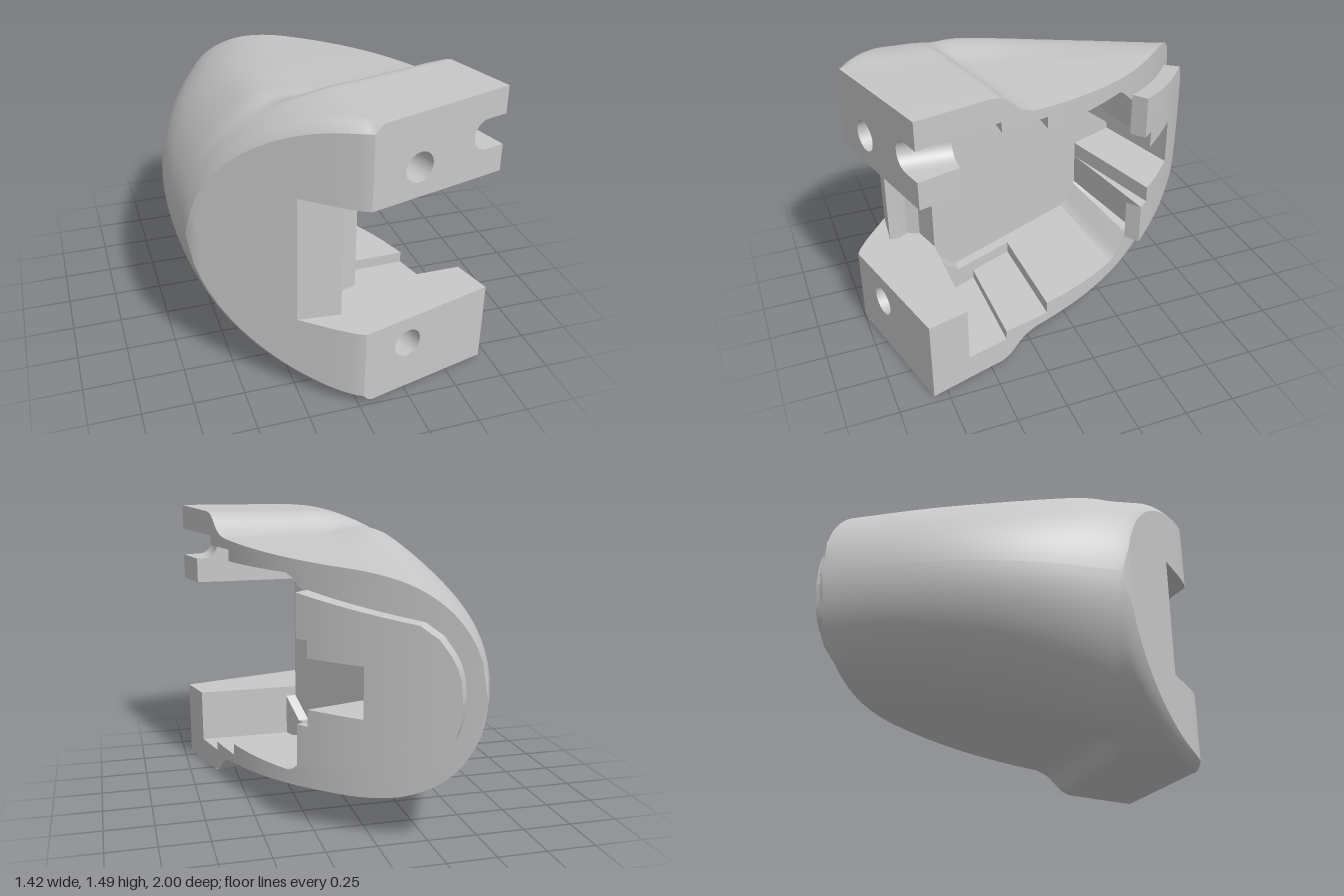
import * as THREE from 'three';
import { toCreasedNormals } from 'three/addons/utils/BufferGeometryUtils.js';

const MID = 0.75;                       // height of the mirror plane
const JAW = 0.325;                      // half height of the front slot
const BACK = 0.62;                      // z of the rear face of the jaws
const { lerp, smoothstep, clamp } = THREE.MathUtils;
const steps = (a, b, n) => Array.from({ length: n + 1 }, (_, i) => lerp(a, b, i / n));

// Linear lookup in a short table of [position, value]
function table(t, p) {
  if (p <= t[0][0]) return t[0][1];
  for (let i = 1; i < t.length; i++) {
    if (p <= t[i][0]) return lerp(t[i - 1][1], t[i][1], (p - t[i - 1][0]) / (t[i][0] - t[i - 1][0]));
  }
  return t[t.length - 1][1];
}

// Plan outline: left side, open rim on the right, slanted front, and the cavity floor
const leftX = z => -0.71 + 0.24 * (Math.min(z, 0.42) - 0.1) ** 2;
const curveX = z => 0.48 + 0.482 * z - 0.456 * z * z + 0.2 * z * (z - 0.4) * (z + 0.98);
const rimX = z => z < 0.42 ? Math.max(curveX(z), leftX(z)) : lerp(curveX(0.42), 0.71, (z - 0.42) / 0.4);
const floorX = z => 0.1 - 0.42 * (0.62 - z);
const B = [0.02, 1.0], C = [0.71, 0.82];   // front corners of the jaws
const FRONT = [[leftX(0.42), 0.42], [-0.67, 0.455], [-0.25, 0.80], [-0.12, 0.907], [-0.07, 0.945], [-0.02, 0.98], B];
const front = v => { const x = lerp(FRONT[0][0], B[0], v); return [x, table(FRONT, x)]; };

// Half height of the outer skin over a point of the plan: a stepped right part
// (SPINE) blends into an even taper (FLANK) on the rounded left part
const SPINE = [[-0.98, 0.51], [-0.75, 0.535], [0.23, 0.615], [0.27, 0.625], [0.32, 0.65],
  [0.37, 0.70], [0.4, 0.725], [0.44, 0.738], [1, 0.748]];
const FLANK = [[-0.98, 0.51], [-0.75, 0.54], [0, 0.66], [0.4, 0.73], [1, 0.748]];
function height(x, z) {
  const shift = 0.18 * (clamp(x, -0.1, 0.6) - 0.6) * smoothstep(z, -0.1, 0.25);
  const rise = 0.03 * (Math.max(x, 0.1) - 0.7) * smoothstep(z, 0.3, 0.5);
  const top = lerp(table(FLANK, z), table(SPINE, z + shift), smoothstep(x, -0.38, 0)) + rise;
  const c = lerp(0.1, 0.03, smoothstep(z, -0.3, 0.4));
  const u = clamp((c - x) / (c - leftX(z)), 0, 1);
  const d = Math.max(0, 0.77 * (table(FRONT, x) - z) + Math.max(0, x - B[0]));
  const round = z > 0.42 ? 0.04 * Math.max(0, 1 - d / 0.06) ** 2 : 0;
  return Math.max(0, top * Math.sqrt(1 - u * u) - round);
}

// Skin a list of equally long rows of [x, half height, z]; side is +1 upper, -1 lower
function skin(rows, side, flip = false) {
  const pos = [], idx = [], n = rows[0].length;
  rows.forEach(r => r.forEach(p => pos.push(p[0], MID + side * p[1], p[2])));
  for (let i = 0; i < rows.length - 1; i++) for (let j = 0; j < n - 1; j++) {
    const a = i * n + j, b = a + 1, c = a + n, d = c + 1;
    if ((side > 0) !== flip) idx.push(a, c, b, b, c, d); else idx.push(a, b, c, b, d, c);
  }
  const g = new THREE.BufferGeometry();
  g.setAttribute('position', new THREE.Float32BufferAttribute(pos, 3));
  g.setIndex(idx);
  return toCreasedNormals(g, 0.45);
}

// Flat face from an outline and an optional round hole
function flat(outline, hole) {
  const path = points => points.map(([x, y]) => new THREE.Vector2(x, y));
  const shape = new THREE.Shape(path(outline));
  if (hole) shape.holes.push(new THREE.Path(path(hole)));
  return new THREE.ShapeGeometry(shape);
}

export function createModel() {
  const model = new THREE.Group();
  const grey = new THREE.MeshStandardMaterial({ color: 0xc8c8c8, side: THREE.DoubleSide });
  grey.name = 'plain grey';
  const add = (name, geometry) => {
    const m = new THREE.Mesh(geometry, grey);
    m.name = name;
    model.add(m);
  };

  for (const side of [1, -1]) {
    const tag = side > 0 ? 'upper' : 'lower';
    const part = (name, rows, flip) => add(tag + name, skin(rows, side, flip));

    // Outer skin: straight rows from the left edge to the rim, back to front
    const ends = [...steps(-0.98, -0.75, 14), ...steps(-0.73, 0.42, 44)]
      .map(z => [[leftX(z), z], [rimX(z), z]]);
    const diagonal = [...steps(0, 0.617, 18), ...steps(0.65, 1, 14)];
    for (const v of diagonal.slice(1)) ends.push([front(v), [rimX(lerp(0.42, 0.82, v)), lerp(0.42, 0.82, v)]]);
    part('OuterShell', ends.map(([l, r]) => steps(0, 1, 36).map(t => {
      const k = 1 - Math.cos(t * Math.PI / 2);
      const x = lerp(l[0], r[0], k), z = lerp(l[1], r[1], k);
      return [x, height(x, z), z];
    })));

    // Slanted front wall, interrupted by the slot
    const wall = (v, y) => { const [x, z] = front(v); return [[x, Math.min(y, height(x, z)), z], [x, height(x, z), z]]; };
    part('FrontWall', diagonal.filter(v => v < 0.63).map(v => wall(v, 0)));
    part('FrontWallBesideSlot', diagonal.filter(v => v > 0.61).map(v => wall(v, JAW)));

    // Face at the back of the slot, with its groove
    const slot = [front(0.617), [-0.04, 0.82], [-0.04, 0.77], [-0.07, 0.72], [-0.04, 0.66], [0.1, BACK]];
    part('SlotFace', slot.map(([x, z]) => [[x, 0, z], [x, JAW, z]]));

    // Inner face of the jaw
    const rest = diagonal.filter(v => v > 0.63).reverse().map(front);
    const jawFace = flat([...slot, [rimX(BACK), BACK], C, ...rest].map(([x, z]) => [x, -z]));
    jawFace.rotateX(-Math.PI / 2).translate(0, MID + side * JAW, 0);
    add(tag + 'JawInnerFace', jawFace);

    // Front face of the jaw with the screw hole, and a side notch on the upper one
    const len = Math.hypot(C[0] - B[0], C[1] - B[1]);
    const ux = (C[0] - B[0]) / len, uz = (C[1] - B[1]) / len;
    const at = (u, y, depth) => [B[0] + ux * u + uz * depth, y, B[1] + uz * u - ux * depth];
    const arc = steps(-Math.PI / 2, -Math.PI * 1.5, 12)
      .map(a => [0.615 + 0.075 * Math.cos(a), 0.535 + 0.075 * Math.sin(a)]);
    const notch = [[len, 0.46], ...arc, [len, 0.61]];
    const edge = steps(len, 0, 20).map(u => { const p = at(u, 0, 0); return [u, height(p[0], p[2])]; });
    const ring = steps(0, Math.PI * 2, 24).map(a => [0.243 + 0.074 * Math.cos(a), 0.472 + 0.074 * Math.sin(a)]);
    const frontFace = flat([[0, JAW], [len, JAW], ...(side > 0 ? notch : []), ...edge], ring);
    frontFace.applyMatrix4(new THREE.Matrix4().set(
      ux, 0, -uz, B[0], 0, side, 0, MID, uz, 0, ux, B[1], 0, 0, 0, 1));
    add(tag + 'JawFrontFace', frontFace);

    // Screw hole, square to the front face, and the notch, running straight back
    const holeFront = ring.map(([u, y]) => at(u, y, 0));
    const holeBack = ring.map(([u, y]) => at(u, y, (B[1] + uz * u - BACK) / ux));
    part('ScrewHole', [holeFront, holeBack]);
    const mouth = notch.map(([u, y]) => at(u, y, 0));
    const exit = mouth.map(([x, y]) => [Math.min(x, rimX(BACK)), y, BACK]);
    if (side > 0) part('SideNotch', [mouth, exit]);

    // Rear face of the jaw
    const edgeX = rimX(BACK), inX = lerp(edgeX, floorX(BACK), 0.9);
    const rearFace = flat([[0.1, JAW], [edgeX, JAW], ...(side > 0 ? exit.slice(0, -1) : [[edgeX, 0.61]]),
      [inX, 0.61], [inX, 0.38], [0.1, 0.38]], holeBack);
    rearFace.scale(1, side, 1).translate(0, MID, BACK);
    add(tag + 'JawRearFace', rearFace);

    // Outer side of the jaw, split by the notch
    const jawSide = (lo, hi) => steps(BACK, 0.82, 4).map(z => {
      const x = rimX(z);
      return [[x, lo, z], [x, hi ?? height(x, z), z]];
    });
    if (side > 0) {
      part('JawSideInner', jawSide(JAW, 0.46));
      part('JawSideOuter', jawSide(0.61));
    } else part('JawSide', jawSide(JAW));

    // Rim, stepped shelf, cavity wall and floor; doubled rows make the sharp steps
    const CAVITY = [[-0.42, 0.38], [-0.3, 0.5], [0.5, 0.5], [BACK, 0.38]];
    const cavityRow = (z, shelf) => {
      const zf = z + 0.06 * clamp((0.3 - z) / 0.7, 0, 1);
      const x = rimX(z), f = floorX(zf), m = lerp(x, f, 0.9), mz = lerp(z, zf, 0.9);
      const h = height(x, z), c = table(CAVITY, z), s = Math.min(shelf || c, h - 0.01);
      const sm = Math.min(s, height(m, mz) - 0.03), b = Math.min(c, height(f, zf) - 0.03);
      return [[x, h, z], [x, s, z], [m, sm, mz], [m, Math.min(c, sm), mz], [f, b, zf], [f, 0, zf]];
    };
    part('RimAndCavity', [
      ...steps(-0.4, 0.17, 20).map(z => cavityRow(z, 0)),
      ...steps(0.17, 0.41, 8).map(z => cavityRow(z, 0.56)),
      ...[0.41, 0.46, 0.5, 0.56, BACK].map(z => cavityRow(z, 0.61))]);

    // Rear rim and the raised lip along it
    const LIP_END = -0.93;
    const LIP = [[LIP_END, 0], [-0.925, 0.1], [-0.915, 0.16], [-0.9, 0.21], [-0.87, 0.28], [-0.82, 0.335], [-0.4, 0.43]];
    const lip = z => {
      const slope = (curveX(z + 0.01) - curveX(z - 0.01)) / 0.02, k = Math.hypot(1, slope);
      return [rimX(z) + 0.086 / k, z - 0.086 * slope / k];
    };
    const lipH = z => Math.min(table(LIP, z), Math.max(0, height(rimX(z), z) - 0.03));
    const rear = [...steps(-0.4, -0.82, 20), ...steps(-0.83, LIP_END, 20)];
    part('RearRim', [...rear, -0.95, -0.965, -0.98].map(z => {
      const x = rimX(z);
      return [[x, height(x, z), z], [x, z < LIP_END ? 0 : lipH(z), z]];
    }), true);
    part('LipEdge', rear.map(z => [[rimX(z), lipH(z), z], [lip(z)[0], lipH(z), lip(z)[1]]]), true);
    part('LipStart', [[rimX(-0.4), -0.4], lip(-0.4)].map(([x, z]) => [[x, 0.21, z], [x, lipH(-0.4), z]]));

    // Lip top in three bands, each starting further back, with walls down to the floor;
    // the floor runs on as a strip under the middle band
    const deep = [floorX(-0.34), -0.34], strip = [floorX(-0.59), -0.59];
    const bands = [[0, 0.125, -0.66], [0.125, 0.21, -0.45], [0.21, 1, -0.4]];
    bands.forEach(([lo, hi, start], i) => {
      part('LipTop', [start, ...rear.filter(z => z < start)].map(z => {
        const [x, zz] = lip(z), h = lipH(z);
        return [[x, Math.min(hi, h), zz], [x, Math.min(lo, h), zz]];
      }), true);
      const top = Math.min(hi, 0.38);
      const path = i === 0 ? [deep, strip, lip(start)] : [deep, lip(start)];
      part('CavityBackWall', path.map(([x, z]) => [[x, lo, z], [x, top, z]]));
      if (i < 2) part('RecessSide', steps(0, 1, 8).map(t => {
        const [x, z] = lip(lerp(bands[i + 1][2], start, t));
        const k = i === 0 ? t : 0;
        return [[x, hi, z], [lerp(deep[0], strip[0], k), hi, lerp(deep[1], strip[1], k)]];
      }));
    });
  }
  return model;
}
